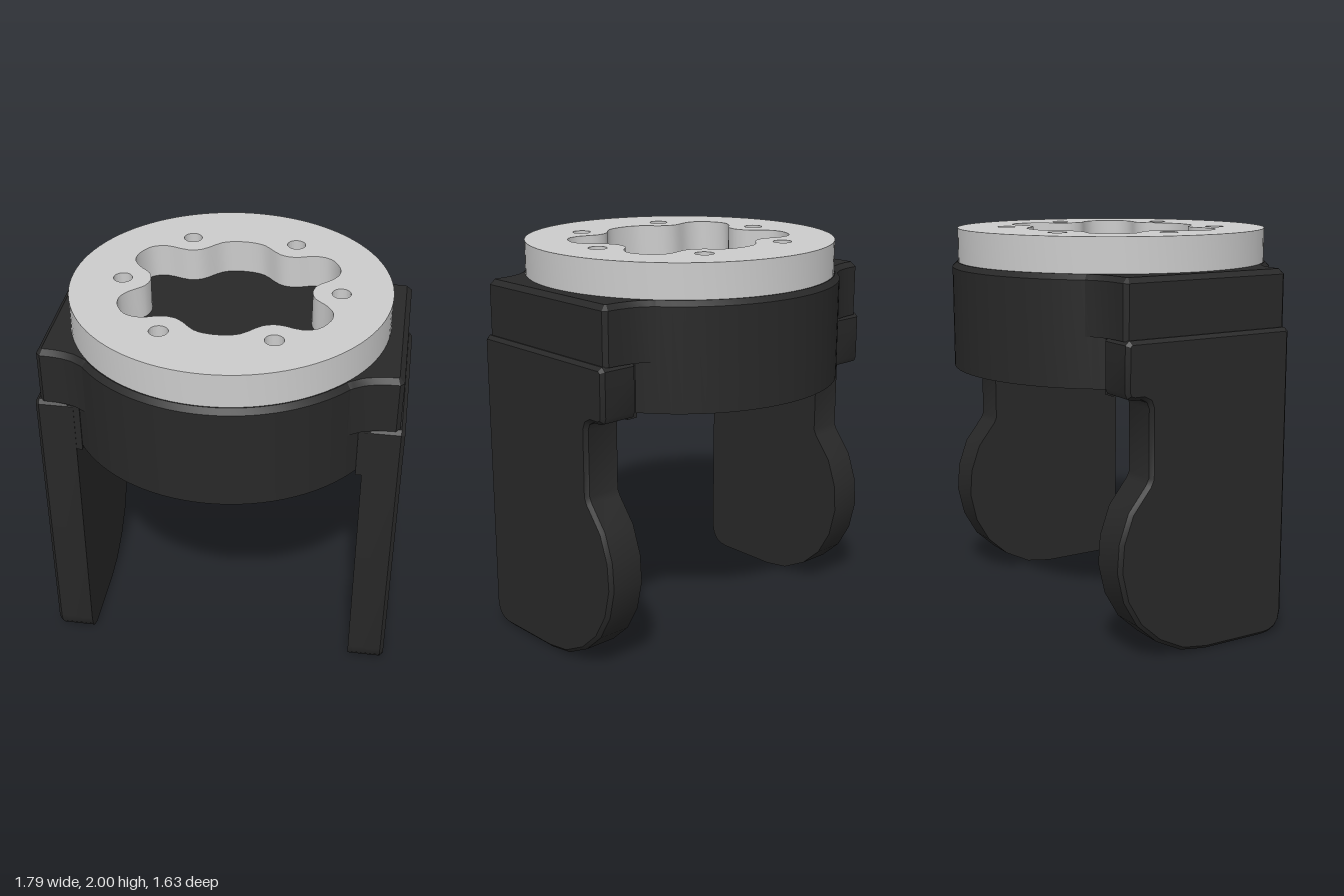
import * as THREE from 'three';
import { toCreasedNormals } from 'three/addons/utils/BufferGeometryUtils.js';

const dark = new THREE.MeshStandardMaterial({ color: 0x282828 });
const grey = new THREE.MeshStandardMaterial({ color: 0xcccccc });
const BODY_R = 0.815;

const toPoints = (list) => list.map(([x, y]) => new THREE.Vector2(x, y));

// Repeats the points of one quadrant (listed from the x axis to the y axis) in all four
function fourfold(q) {
  const r = [...q].reverse();
  return [
    ...q,
    ...r.map(([x, y]) => [-x, y]),
    ...q.map(([x, y]) => [-x, -y]),
    ...r.map(([x, y]) => [x, -y]),
  ];
}

// Extrusion from local z = 0 to depth, chamfered on its far face only
function slab(shape, depth, chamfer = 0) {
  const g = new THREE.ExtrudeGeometry(shape, {
    depth: depth - chamfer,
    bevelEnabled: chamfer > 0,
    bevelThickness: chamfer,
    bevelSize: chamfer,
    bevelOffset: -chamfer,
    bevelSegments: 1,
    curveSegments: 48,
  });
  const p = g.attributes.position;
  for (let i = 0; i < p.count; i++) p.setZ(i, Math.max(0, p.getZ(i)));
  return toCreasedNormals(g, 0.5);
}

function part(name, geometry, material) {
  const mesh = new THREE.Mesh(geometry, material);
  mesh.name = name;
  return mesh;
}

// Leg outline as [z, y]: straight front, rounded heel, notch and round bulge at the back
const LEG = [
  [0.465, 1.53], [0.465, 0.11], [0.455, 0.06], [0.43, 0.025], [0.39, 0.005], [0.35, 0],
  [0, 0], [-0.14, 0.02], [-0.28, 0.09], [-0.39, 0.19], [-0.465, 0.32], [-0.5, 0.47],
  [-0.49, 0.61], [-0.44, 0.75], [-0.345, 0.87], [-0.33, 0.9],
  [-0.33, 1.23], [-0.342, 1.26], [-0.37, 1.275], [-0.42, 1.275], [-0.45, 1.285], [-0.46, 1.31],
  [-0.46, 1.53], [-0.44, 1.55], [0.445, 1.55],
];

function leg(side) {
  const group = new THREE.Group();
  group.name = side > 0 ? 'leftLeg' : 'rightLeg';
  const outline = new THREE.Shape(toPoints(LEG.map(([z, y]) => [-side * z, y])));
  const plate = slab(outline, 0.19, 0.018).rotateY(side * Math.PI / 2);
  plate.translate(side * 0.705, 0, 0);
  group.add(part('legPlate', plate, dark));

  // Thicker lip where the leg meets the housing
  const lip = new THREE.BoxGeometry(0.06, 0.27, 0.905);
  lip.translate(side * 0.705, 1.41, 0.01);
  group.add(part('legLip', lip, dark));
  return group;
}

export function createModel() {
  const model = new THREE.Group();

  // Round housing
  const disc = new THREE.Shape().absarc(0, 0, BODY_R, 0, Math.PI * 2);
  const housing = slab(disc, 0.53, 0.025).rotateX(-Math.PI / 2).translate(0, 1.3, 0);
  model.add(part('housing', housing, dark));

  // Side shoulders, flared into the round housing
  const shoulder = new THREE.Shape(toPoints(fourfold([
    [0.87, 0.435], [0.85, 0.455], [0.79, 0.457], [0.74, 0.465],
    [0.69, 0.48], [0.645, 0.507], [0.6, 0.54],
  ])));
  const shoulders = slab(shoulder, 0.285, 0.025).rotateX(-Math.PI / 2).translate(0, 1.545, 0);
  model.add(part('shoulders', shoulders, dark));

  model.add(leg(1), leg(-1));

  // Mounting ring with a lobed opening and six bolt holes
  const ring = new THREE.Shape().absarc(0, 0, 0.785, 0, Math.PI * 2);
  const lobes = fourfold([
    [0.398, 0.015], [0.415, 0.065], [0.48, 0.13], [0.512, 0.19], [0.505, 0.26],
    [0.455, 0.335], [0.38, 0.355], [0.27, 0.328], [0.2, 0.345], [0.11, 0.43], [0.045, 0.452],
  ]).map(([x, y]) => new THREE.Vector3(x, y, 0));
  const opening = new THREE.CatmullRomCurve3(lobes, true).getPoints(132).slice(0, -1);
  ring.holes.push(new THREE.Path(opening.map((p) => new THREE.Vector2(p.x, p.y))));
  for (let i = 0; i < 6; i++) {
    const a = i * Math.PI / 3;
    const hole = new THREE.Path();
    hole.absarc(0.535 * Math.cos(a), 0.535 * Math.sin(a), 0.046, 0, Math.PI * 2);
    ring.holes.push(hole);
  }
  const ringGeometry = slab(ring, 0.17).rotateX(-Math.PI / 2).translate(0, 1.83, 0);
  model.add(part('mountingRing', ringGeometry, grey));

  return model;
}
